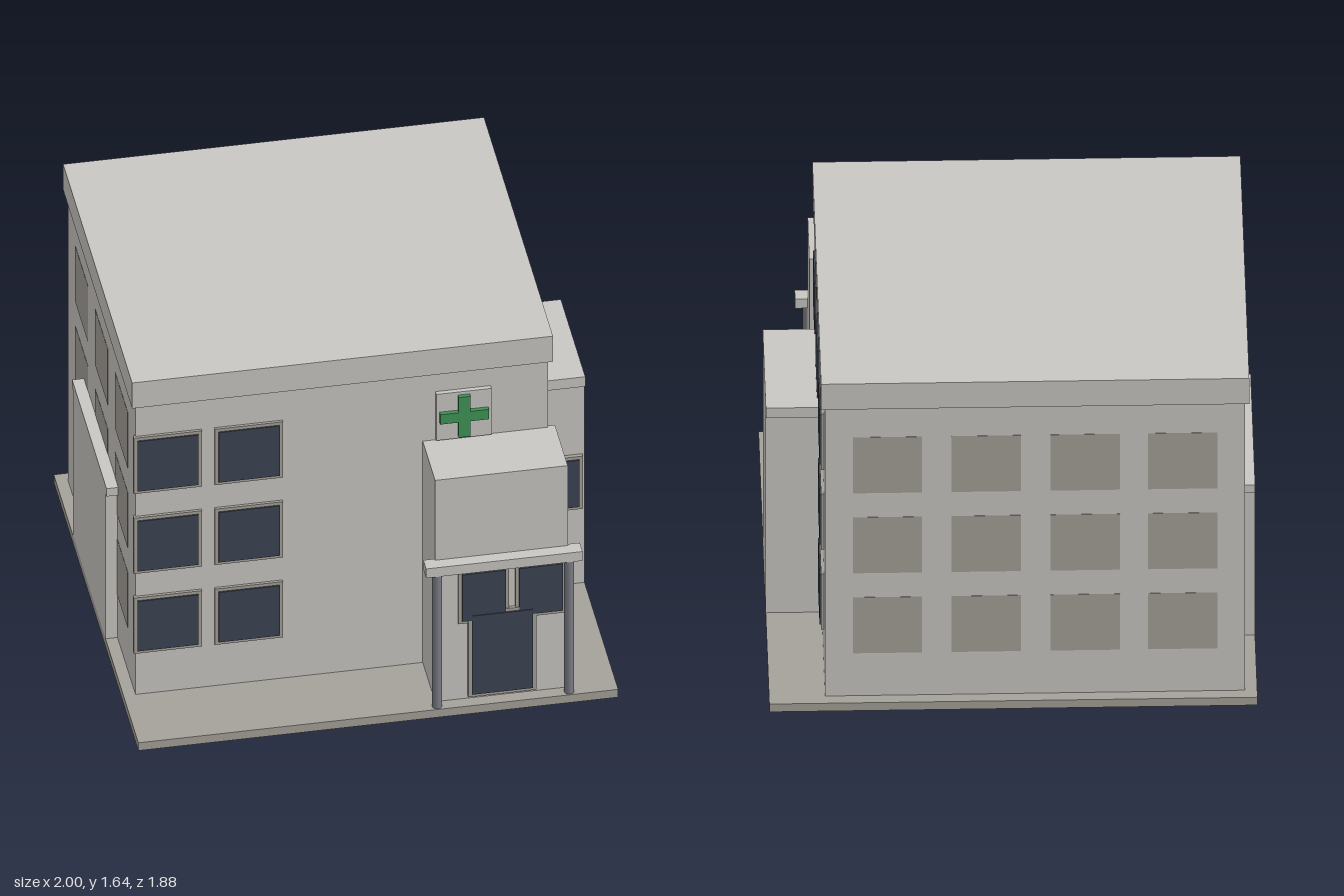
import * as THREE from 'three';

const mat = (name, color) => new THREE.MeshStandardMaterial({ name, color });

export function createModel() {
  const wall = mat('wall', 0xc9c7c3);
  const trim = mat('trim', 0xa5a19a);
  const glass = mat('glass', 0x3d4552);
  const metal = mat('postMetal', 0x7b7e86);
  const green = mat('crossGreen', 0x3f9455);

  const model = new THREE.Group();
  model.name = 'clinic';

  // Box given by its limits on each axis
  const box = (name, m, x0, x1, y0, y1, z0, z1, parent = model) => {
    const mesh = new THREE.Mesh(new THREE.BoxGeometry(x1 - x0, y1 - y0, z1 - z0), m);
    mesh.position.set((x0 + x1) / 2, (y0 + y1) / 2, (z0 + z1) / 2);
    mesh.name = name;
    parent.add(mesh);
    return mesh;
  };

  // Framed pane that faces +z, then turned about y to suit its wall
  const pane = (name, x, y, z, w, h, turn = 0) => {
    const g = new THREE.Group();
    g.name = name;
    box('frame', trim, -w / 2, w / 2, -h / 2, h / 2, -0.01, 0.012, g);
    box('glass', glass, -w / 2 + 0.015, w / 2 - 0.015, -h / 2 + 0.015, h / 2 - 0.015, 0, 0.018, g);
    g.position.set(x, y, z);
    g.rotation.y = turn;
    model.add(g);
  };

  // Ground slab, main block and roof
  box('baseSlab', trim, -1, 1, 0, 0.04, -0.94, 0.94);
  box('mainBlock', wall, -0.95, 0.77, 0.04, 1.52, -0.89, 0.61);
  box('roof', wall, -0.967, 0.787, 1.51, 1.64, -0.908, 0.626);

  // Side wings with caps
  box('leftWing', wall, 0.76, 1, 0.04, 1.06, -0.31, 0.19);
  box('leftWingCap', wall, 0.76, 1, 1.05, 1.1, -0.335, 0.207);
  box('rightWing', wall, -1, -0.94, 0.04, 0.79, -0.51, 0.21);
  box('rightWingCap', wall, -1, -0.94, 0.78, 0.82, -0.532, 0.232);

  // Entrance block, canopy and posts
  box('entranceBlock', wall, 0.247, 0.8, 0.04, 1.167, 0.6, 0.885);
  box('canopy', wall, 0.2, 0.852, 0.713, 0.76, 0.875, 0.937);
  for (const x of [0.25, 0.8]) {
    const post = new THREE.Mesh(new THREE.CylinderGeometry(0.021, 0.021, 0.68, 12), metal);
    post.position.set(x, 0.38, 0.916);
    post.name = 'canopyPost';
    model.add(post);
  }

  // Windows in three storeys, with blind panels on the back and right walls
  const S = 0.284;
  const h = S / 2;
  for (const y of [0.398, 0.805, 1.212]) {
    for (const x of [-0.817, -0.479]) pane('frontWindow', x, y, 0.61, S, S);
    for (const z of [0.297, -0.143, -0.583]) {
      pane('leftWindow', 0.771, y, z, S, S, Math.PI / 2);
      box('rightBlindWindow', trim, -0.951, -0.945, y - h, y + h, z - h, z + h);
    }
    for (const x of [0.515, 0.11, -0.295, -0.695]) {
      box('backBlindWindow', trim, x - h, x + h, y - h, y + h, -0.891, -0.885);
    }
  }

  // Door, entrance windows and wing window
  pane('door', 0.525, 0.269, 0.887, 0.284, 0.43);
  for (const x of [0.448, 0.686]) pane('entranceWindow', x, 0.563, 0.884, 0.211, 0.268);
  pane('leftWingWindow', 0.885, 0.563, 0.195, 0.211, 0.268);

  // Sign plate with a green cross
  box('signPlate', wall, 0.3, 0.53, 1.177, 1.412, 0.6, 0.63);
  const c = new THREE.Shape();
  const a = 0.102, b = 0.025;
  [[-b, -a], [b, -a], [b, -b], [a, -b], [a, b], [b, b], [b, a], [-b, a], [-b, b], [-a, b], [-a, -b], [-b, -b]]
    .forEach(([x, y], i) => (i ? c.lineTo(x, y) : c.moveTo(x, y)));
  const cross = new THREE.Mesh(new THREE.ExtrudeGeometry(c, { depth: 0.025, bevelEnabled: false }), green);
  cross.position.set(0.415, 1.295, 0.623);
  cross.name = 'signCross';
  model.add(cross);

  return model;
}
